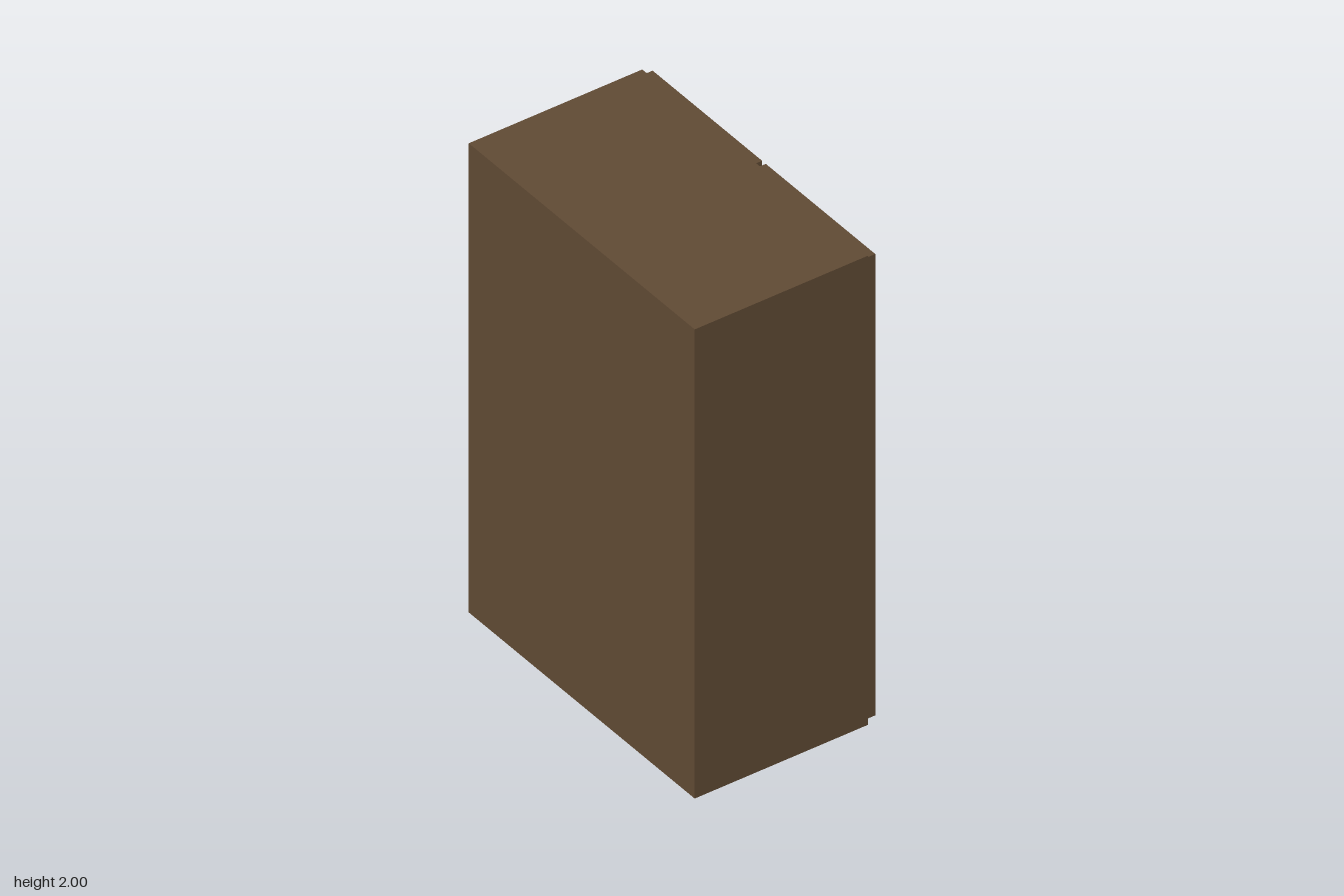
import * as THREE from 'three';

export function createModel() {
  const model = new THREE.Group();
  model.name = 'wardrobe';

  const wood = new THREE.MeshStandardMaterial({ color: 0x604a34 });
  wood.name = 'brown wood';
  const metal = new THREE.MeshStandardMaterial({ color: 0xc6b6b4, flatShading: true });
  metal.name = 'pale metal';

  const add = (name, geometry, material, x, y, z) => {
    const mesh = new THREE.Mesh(geometry, material);
    mesh.name = name;
    mesh.position.set(x, y, z);
    model.add(mesh);
  };

  // Cabinet body
  add('cabinet', new THREE.BoxGeometry(0.734, 2, 1.33), wood, -0.033, 1, 0);

  // Two doors with knobs, facing +x
  const doorGeometry = new THREE.BoxGeometry(0.037, 1.967, 0.644);
  const knobGeometry = new THREE.CylinderGeometry(0.0245, 0.0245, 0.028, 6).rotateZ(-Math.PI / 2);
  for (const [label, side] of [['front', 1], ['back', -1]]) {
    add(label + 'Door', doorGeometry, wood, 0.3525, 1.0015, side * 0.333);
    add(label + 'Knob', knobGeometry, metal, 0.384, 0.942, side * 0.092);
  }

  return model;
}
